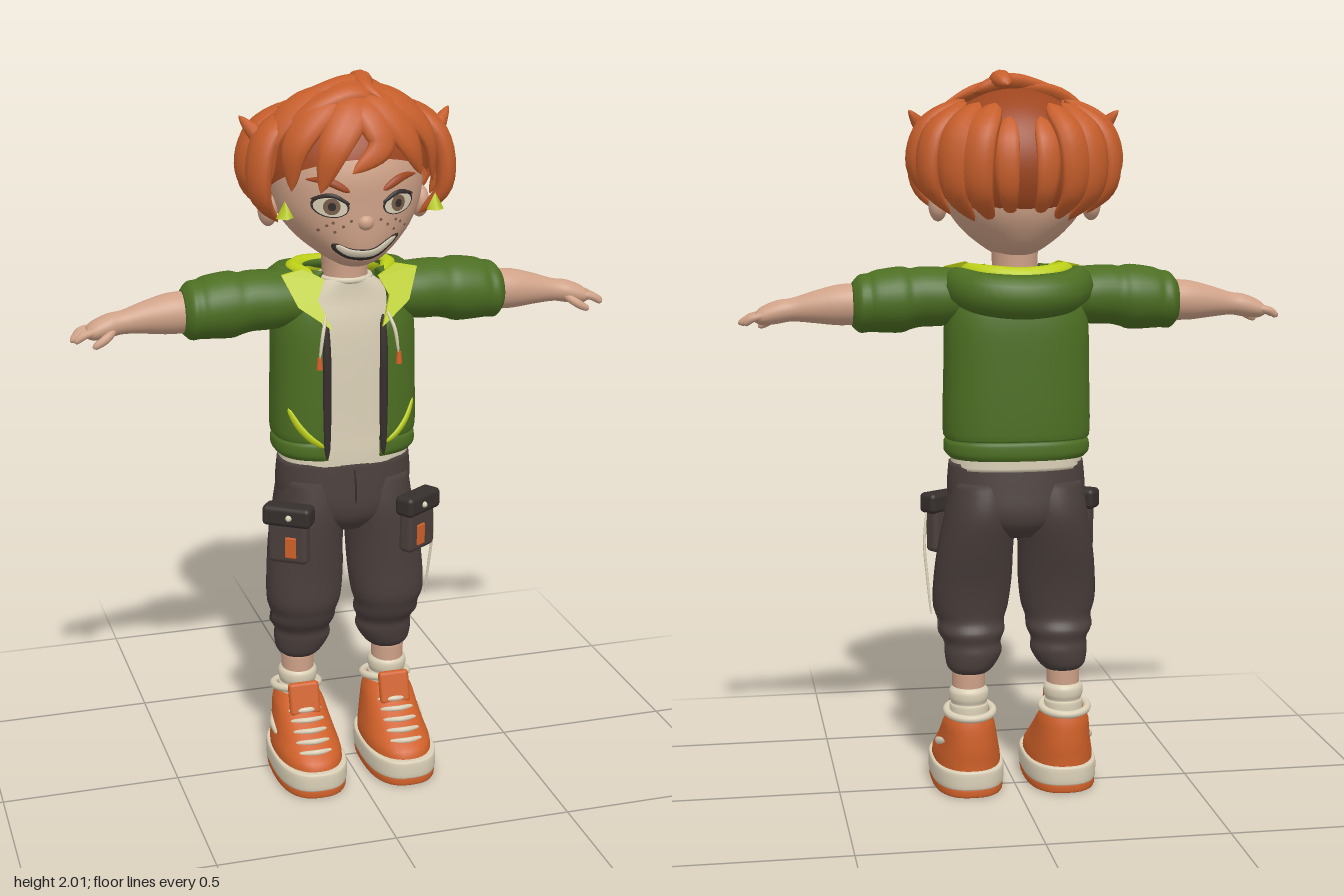
import * as THREE from 'three';
import { RoundedBoxGeometry } from 'three/addons/geometries/RoundedBoxGeometry.js';

const V = (x, y, z) => new THREE.Vector3(x, y, z);
const colours = {
  skin: 0xcfa288, hair: 0xc65e2b, hairDark: 0x9e4620, green: 0x4c6e22, lime: 0xbccf18,
  cream: 0xdacfb6, trousers: 0x4a3f3c, dark: 0x352e2c, orange: 0xcf6029, brown: 0x7a5f4c,
};

// Closed surface through rings of points
function skin(rings, caps = true) {
  const n = rings[0].length, pos = [], idx = [], last = rings.length - 1;
  rings.forEach(r => r.forEach(p => pos.push(p.x, p.y, p.z)));
  for (let i = 0; i < last; i++) for (let j = 0; j < n; j++) {
    const a = i * n + j, b = i * n + (j + 1) % n;
    idx.push(a, b, b + n, a, b + n, a + n);
  }
  if (caps) for (const i of [0, last]) {
    const c = rings[i].reduce((s, p) => s.add(p), V(0, 0, 0)).divideScalar(n);
    const k = pos.length / 3;
    pos.push(c.x, c.y, c.z);
    for (let j = 0; j < n; j++) {
      const a = i * n + j, b = i * n + (j + 1) % n;
      idx.push(k, i ? a : b, i ? b : a);
    }
  }
  const g = new THREE.BufferGeometry();
  g.setAttribute('position', new THREE.Float32BufferAttribute(pos, 3));
  g.setIndex(idx);
  g.computeVertexNormals();
  return g;
}

// Sections are [y, centreX, centreZ, radiusX, radiusZ], smoothed between rows
function smooth(rows, steps = 4) {
  const out = [], at = i => rows[Math.min(Math.max(i, 0), rows.length - 1)];
  for (let i = 0; i < rows.length - 1; i++) for (let k = 0; k < steps; k++) {
    const t = k / steps;
    out.push(rows[0].map((_, c) => {
      const [p, a, b, q] = [at(i - 1)[c], at(i)[c], at(i + 1)[c], at(i + 2)[c]];
      return a + 0.5 * t * (b - p + t * (2 * p - 5 * a + 4 * b - q + t * (3 * (a - b) + q - p)));
    }));
  }
  return [...out, rows.at(-1)];
}
function around([y, cx, cz, rx, rz], a, n, inset = 0) {
  const f = v => Math.sign(v) * Math.abs(v) ** (2 / n);
  return V(cx + (rx - inset) * f(Math.sin(a)), y, cz + (rz - inset) * f(Math.cos(a)));
}
const loft = (rows, n = 2, seg = 36) => skin(smooth(rows).map(s =>
  Array.from({ length: seg }, (_, j) => around(s, j / seg * 2 * Math.PI, n))));

// Elliptical strand along a curve: w is half width, t is half thickness
const pointed = s => Math.sin(Math.PI * s ** 0.7) ** 0.65;
const blunt = s => Math.sin(Math.PI * s) ** 0.25;
function sweep(points, w, t, centre, profile = blunt, steps = 18) {
  const curve = new THREE.CatmullRomCurve3(points), rings = [];
  for (let i = 0; i <= steps; i++) {
    const s = i / steps, p = curve.getPoint(s), T = curve.getTangent(s);
    const N = p.clone().sub(centre);
    N.addScaledVector(T, -N.dot(T)).normalize();
    const B = T.clone().cross(N), r = Math.max(0.03, profile(Math.min(Math.max(s, 0.001), 0.999)));
    rings.push(Array.from({ length: 10 }, (_, j) => {
      const a = j / 10 * 2 * Math.PI;
      return p.clone().addScaledVector(N, Math.cos(a) * t * r).addScaledVector(B, Math.sin(a) * w * r);
    }));
  }
  return skin(rings);
}
const ball = (x, y, z, rx, ry, rz) => new THREE.SphereGeometry(1, 20, 14).scale(rx, ry, rz).translate(x, y, z);
function mirrored(g) {
  const m = g.clone();
  if (!m.index) m.setIndex([...Array(m.attributes.position.count).keys()]);
  m.applyMatrix4(new THREE.Matrix4().makeScale(-1, 1, 1));
  const i = m.index.array;
  for (let k = 0; k < i.length; k += 3) [i[k], i[k + 1]] = [i[k + 1], i[k]];
  return m;
}

export function createModel() {
  const model = new THREE.Group(), mats = {};
  model.name = 'boy in green jacket';
  for (const k in colours) {
    mats[k] = new THREE.MeshStandardMaterial({ color: colours[k] });
    mats[k].name = k;
  }
  const add = (name, g, m) => {
    const mesh = new THREE.Mesh(g, mats[m]);
    mesh.name = name;
    model.add(mesh);
  };
  const pair = (name, g, m) => { add('left ' + name, g, m); add('right ' + name, mirrored(g), m); };
  const FRONT = V(0, 1.3, -6);

  // Head and neck
  const head = [[1.505, 0, .035, .045, .09], [1.53, 0, .03, .085, .15], [1.57, 0, .019, .135, .174],
    [1.62, 0, .009, .176, .189], [1.68, 0, .005, .2, .195], [1.76, 0, .002, .205, .197],
    [1.84, 0, 0, .185, .17], [1.9, 0, 0, .12, .11], [1.93, 0, 0, .03, .03]];
  add('head', loft(head, 2.15, 48), 'skin');
  add('neck', loft([[1.38, 0, 0, .07, .075], [1.46, 0, 0, .062, .07], [1.56, 0, 0, .066, .075]]), 'skin');
  pair('ear', ball(.212, 1.645, -.005, .026, .045, .038), 'skin');
  add('nose', ball(0, 1.638, .195, .022, .02, .017), 'skin');
  pair('earring', new THREE.ConeGeometry(.024, .045, 4).translate(.205, 1.675, .15), 'lime');

  // Face details laid on the head surface
  const dense = smooth(head);
  const faceZ = (x, y) => {
    const i = Math.max(1, dense.findIndex(s => s[0] >= y)), a = dense[i - 1], b = dense[i];
    const s = a.map((v, c) => v + (b[c] - v) * (y - a[0]) / (b[0] - a[0]));
    return s[2] + s[4] * Math.max(0, 1 - Math.abs(x / s[3]) ** 2.15) ** (1 / 2.15);
  };
  const patch = (cx, cy, rx, ry, lift, tilt = 0) => {
    const g = new THREE.RingGeometry(0.001, 1, 24, 4).scale(rx, ry, 1).rotateZ(tilt).translate(cx, cy, 0);
    const p = g.attributes.position;
    for (let i = 0; i < p.count; i++) p.setZ(i, faceZ(p.getX(i), p.getY(i)) + lift);
    g.computeVertexNormals();
    return g;
  };
  const onFace = (pts, w, t, lift, prof) =>
    sweep(pts.map(([x, y]) => V(x, y, faceZ(x, y) + lift)), w, t, V(0, 1.65, 0), prof);
  pair('eye outline', patch(.092, 1.684, .047, .03, .003, .15), 'dark');
  pair('eye white', patch(.092, 1.682, .042, .025, .005, .15), 'cream');
  pair('iris', patch(.09, 1.684, .021, .022, .007), 'brown');
  pair('pupil', patch(.09, 1.684, .01, .011, .009), 'dark');
  pair('upper eyelid', onFace([[.045, 1.69], [.09, 1.713], [.138, 1.702]], .006, .004, .005), 'dark');
  pair('eyebrow', onFace([[.045, 1.722], [.1, 1.75], [.15, 1.752]], .011, .007, .005, pointed), 'hairDark');
  add('mouth', onFace([[-.085, 1.578], [-.04, 1.556], [.02, 1.554], [.097, 1.596]], .018, .004, .002), 'dark');
  add('teeth', onFace([[-.075, 1.577], [-.04, 1.559], [.02, 1.557], [.088, 1.592]], .012, .004, .005), 'cream');
  [[.06, 1.63], [.08, 1.615], [.1, 1.632], [.118, 1.618], [.085, 1.64], [.04, 1.645]].forEach(([x, y]) =>
    pair('freckle', patch(x, y, .004, .004, .003), 'brown'));

  // Hair: a cap with tapered locks over it, placed by azimuth, elevation and lift in degrees
  const cap = new THREE.SphereGeometry(1, 40, 24, 0, 2 * Math.PI, 0, .58 * Math.PI);
  const H = V(0, 1.75, -.005);
  add('hair cap', cap.rotateX(-.52).scale(.225, .207, .213).translate(H.x, H.y, H.z), 'hairDark');
  const lock = (pts, w, t = .024, side = 1) => sweep(pts.map(([az, el, k]) => {
    const a = side * az * Math.PI / 180, e = el * Math.PI / 180;
    return V(Math.sin(a) * Math.cos(e) * .235 * k, Math.sin(e) * .21 * k, Math.cos(a) * Math.cos(e) * .22 * k).add(H);
  }), w, t, H, pointed);
  [ // fringe and crown
    [[[15, 78, 1.02], [-8, 52, 1.08], [-22, 22, 1.05], [-30, -8, 1.02]], .055],
    [[[20, 75, 1.03], [-35, 52, 1.08], [-48, 22, 1.07], [-50, -8, 1.03]], .055],
    [[[20, 70, 1.03], [-60, 55, 1.08], [-68, 25, 1.1], [-66, -4, 1.06]], .05],
    [[[-20, 72, 1.02], [5, 48, 1.08], [10, 24, 1.05], [-10, 6, 1.04]], .048],
    [[[-15, 75, 1.03], [20, 52, 1.09], [32, 24, 1.06], [42, 0, 1.03]], .055],
    [[[-15, 75, 1.03], [40, 52, 1.09], [55, 24, 1.08], [60, -8, 1.05]], .055],
    [[[70, 62, 1.05], [20, 76, 1.1], [-50, 66, 1.09], [-82, 45, 1.14]], .04],
    [[[-70, 62, 1.05], [-10, 66, 1.1], [50, 60, 1.09], [78, 42, 1.14]], .04],
    [[[30, 55, 1.06], [-5, 62, 1.13], [-40, 50, 1.12], [-60, 34, 1.14]], .035],
    [[[140, 82, 1.04], [50, 80, 1.13], [15, 66, 1.15], [20, 52, 1.2]], .03],
  ].forEach(([p, w], i) => add('fringe lock ' + (i + 1), lock(p, w), 'hair'));
  [ // sides, flicks and back, the same on both sides
    [[[75, 55, 1.02], [72, 22, 1.14], [70, -12, 1.17], [76, -36, 1.06]], .052, .03],
    [[[88, 55, 1.02], [90, 25, 1.14], [90, 0, 1.17], [88, -22, 1.1]], .052, .03],
    [[[108, 52, 1.02], [110, 20, 1.12], [112, -12, 1.14], [110, -36, 1.04]], .05, .03],
    [[[72, 12, 1.08], [80, 24, 1.18], [84, 27, 1.28], [88, 30, 1.42]], .022, .02],
    [[[130, 52, 1.01], [130, 20, 1.07], [131, -16, 1.09], [132, -44, 1.0]], .052, .03],
    [[[150, 52, 1.0], [148, 20, 1.05], [148, -18, 1.06], [150, -47, .98]], .05, .026],
    [[[166, 40, .97], [166, 15, 1.0], [167, -18, 1.01], [168, -48, .96]], .035, .014],
  ].forEach(([p, w, t], i) => {
    add('left hair lock ' + (i + 1), lock(p, w, t), 'hair');
    add('right hair lock ' + (i + 1), lock(p, w, t, -1), 'hair');
  });

  // Shirt
  add('shirt', loft([[.925, 0, -.02, .182, .117], [.975, 0, -.02, .18, .117], [1.05, 0, -.022, .17, .116],
    [1.3, 0, -.022, .165, .112], [1.4, 0, -.015, .13, .09], [1.455, 0, 0, .07, .073]], 2.4), 'cream');
  add('shirt collar', new THREE.TorusGeometry(.068, .009, 8, 32).rotateX(Math.PI / 2).translate(0, 1.452, 0), 'cream');

  // Jacket shell, open down the front
  const jacket = smooth([[.957, 0, -.025, .187, .128], [.972, 0, -.025, .2, .135], [.998, 0, -.025, .2, .135],
    [1.01, 0, -.025, .193, .131], [1.03, 0, -.025, .203, .137], [1.2, 0, -.025, .2, .136],
    [1.34, 0, -.025, .195, .13], [1.43, 0, -.022, .16, .105], [1.48, 0, -.015, .11, .08]]);
  add('jacket body', skin(jacket.map((s, i) => {
    const a0 = .31 + .35 * THREE.MathUtils.smoothstep(s[0], 1.28, 1.46), M = 48, ring = [];
    const inset = i === 0 || i === jacket.length - 1 ? .001 : .016;
    const angle = j => a0 + (2 * Math.PI - 2 * a0) * j / M;
    for (let j = 0; j <= M; j++) ring.push(around(s, angle(j), 2.6));
    for (let j = M; j >= 0; j--) ring.push(around(s, angle(j), 2.6, inset));
    return ring;
  }), false), 'green');
  const jz = x => -.025 + .136 * (1 - Math.abs(x / .202) ** 2.6) ** (1 / 2.6);
  pair('zip', sweep([.965, 1.1, 1.25, 1.36].map(y => V(.08, y, jz(.08) - (y > 1.3 ? .012 : 0))), .012, .008, FRONT), 'dark');
  pair('slanted pocket', sweep([[.09, 1.0], [.125, 1.025], [.155, 1.06], [.178, 1.105]].map(([x, y]) =>
    V(x, y, jz(x) + .002)), .011, .006, V(0, 1.05, -.05)), 'lime');
  pair('sleeve', loft([[.11, -1.4, -.01, .07, .085], [.2, -1.397, -.012, .08, .093], [.26, -1.397, -.012, .082, .09],
    [.29, -1.392, -.012, .083, .09], [.32, -1.39, -.015, .09, .095], [.38, -1.387, -.015, .085, .092],
    [.405, -1.383, -.015, .08, .085], [.43, -1.38, -.015, .078, .085], [.45, -1.378, -.015, .058, .06]])
    .rotateZ(-Math.PI / 2), 'green');

  // Hood, lining and collar flaps
  const arc = half => [...half, ...half.slice(0, -1).reverse().map(([x, y, z]) => [-x, y, z])].map(p => V(...p));
  const hoodProfile = s => Math.sin(Math.PI * s) ** .4;
  add('hood', sweep(arc([[.125, 1.445, .045], [.165, 1.435, -.05], [.115, 1.415, -.145], [0, 1.405, -.175]]),
    .06, .055, V(0, 1.42, -.05), hoodProfile, 40), 'green');
  add('hood lining', sweep(arc([[.1, 1.47, .04], [.13, 1.467, -.04], [.09, 1.46, -.11], [0, 1.453, -.135]]),
    .03, .034, V(0, 1.46, -.03), hoodProfile, 40), 'lime');
  const flap = new THREE.ExtrudeGeometry(new THREE.Shape([[.075, 1.46], [.1, 1.41], [.07, 1.335], [.155, 1.395],
    [.19, 1.475], [.13, 1.488]].map(p => new THREE.Vector2(...p))), { depth: .008, bevelEnabled: false });
  const fp = flap.attributes.position;
  for (let i = 0; i < fp.count; i++)
    fp.setZ(i, fp.getZ(i) + .12 - .5 * (fp.getY(i) - 1.34) - .3 * fp.getX(i) ** 2);
  flap.computeVertexNormals();
  pair('collar flap', flap, 'lime');
  pair('drawstring', sweep([V(.085, 1.375, .115), V(.1, 1.33, .138), V(.11, 1.265, .142)], .005, .005, FRONT), 'cream');
  pair('drawstring tip', new THREE.CylinderGeometry(.006, .009, .032, 10).translate(.111, 1.25, .142), 'orange');

  // Arms and hands
  pair('arm', loft([[.4, -1.38, -.012, .055, .055], [.48, -1.378, -.012, .056, .055], [.55, -1.373, -.01, .044, .044],
    [.61, -1.366, -.005, .032, .034], [.65, -1.36, -.002, .032, .038], [.69, -1.35, 0, .026, .037],
    [.71, -1.346, 0, .014, .028]]).rotateZ(-Math.PI / 2), 'skin');
  [-.028, -.009, .01, .028].forEach((z, i) => pair('finger ' + (i + 1), sweep([V(.675, 1.354, z * .9),
    V(.72, 1.345, z), V(.757 - Math.abs(z - .005) * .5, 1.328, z * .95 + .004)], .011, .011, V(.7, 0, 0)), 'skin'));
  pair('thumb', sweep([V(.635, 1.355, .02), V(.665, 1.335, .042), V(.7, 1.315, .048)], .012, .012, V(.66, 0, 0)), 'skin');

  // Trousers
  add('trouser hips', loft([[.735, 0, -.02, .07, .08], [.77, 0, -.022, .13, .115], [.81, 0, -.022, .18, .126],
    [.87, 0, -.02, .192, .122], [.942, 0, -.018, .187, .115]], 2.3), 'trousers');
  const leg = [[.345, .132, -.025, .05, .052], [.362, .13, -.025, .066, .066], [.4, .122, -.022, .08, .074],
    [.43, .122, -.018, .078, .074], [.46, .124, -.01, .092, .086], [.49, .123, .003, .092, .085],
    [.53, .123, .008, .104, .092], [.61, .118, 0, .108, .1], [.7, .112, -.012, .104, .115],
    [.8, .1, -.022, .098, .126], [.89, .095, -.02, .09, .11]];
  pair('trouser leg', loft(leg, 2.1), 'trousers');
  pair('leg seam', sweep(leg.slice(2, 10).map(s => V(s[1] + s[3], s[0], s[2])), .004, .004, V(-6, .6, 0)), 'dark');
  add('front fly seam', sweep([V(0, .93, .097), V(.003, .86, .103), V(0, .8, .1)], .003, .003, FRONT), 'dark');
  const onPocket = (name, g, m, x, y, z) =>
    pair(name, g.translate(x, y, z).rotateY(.6).translate(.185, .75, .088), m);
  onPocket('cargo pocket', new RoundedBoxGeometry(.115, .14, .045, 3, .015), 'trousers', 0, -.01, 0);
  onPocket('pocket flap', new RoundedBoxGeometry(.14, .058, .06, 3, .014), 'dark', 0, .06, .004);
  onPocket('pocket tag', new RoundedBoxGeometry(.032, .06, .008, 2, .003), 'orange', -.012, -.03, .024);
  onPocket('pocket stud', new THREE.SphereGeometry(.009, 12, 8), 'cream', -.01, .06, .034);
  add('hanging cord', sweep([V(.24, .8, .06), V(.25, .7, .04), V(.243, .6, .03), V(.235, .5, .02)], .004, .004, V(0, .6, 0)), 'cream');

  // Ankles, socks and shoes
  pair('ankle', loft([[.25, .135, -.022, .045, .047], [.36, .135, -.022, .047, .05]]), 'skin');
  pair('sock', loft([[.18, .135, -.025, .052, .055], [.245, .135, -.025, .055, .056], [.255, .135, -.025, .05, .052],
    [.27, .135, -.025, .055, .057], [.29, .135, -.025, .055, .057], [.302, .135, -.025, .046, .048]]), 'cream');
  const slab = (y0, y1, r) => loft([[y0, .133, .058, r - .008, r + .07], [y0 + .004, .133, .058, r, r + .077],
    [y1 - .006, .133, .058, r, r + .077], [y1, .133, .058, r - .008, r + .07]], 2.6);
  pair('outsole', slab(0, .03, .099), 'orange');
  pair('midsole', slab(.024, .076, .102), 'cream');
  pair('shoe upper', loft([[.06, .133, .056, .094, .166], [.095, .133, .05, .093, .16], [.13, .133, .024, .085, .136],
    [.17, .134, -.004, .077, .106], [.2, .135, -.022, .071, .084], [.228, .135, -.034, .058, .064]], 2.3), 'orange');
  pair('shoe tongue', new RoundedBoxGeometry(.09, .095, .024, 3, .011).rotateX(-.3).translate(.135, .226, .05), 'orange');
  [[.118, .182], [.138, .154], [.158, .125], [.178, .096], [.198, .07]].forEach(([y, z], i) =>
    pair('lace ' + (i + 1), sweep([V(.085, y - .006, z - .018), V(.134, y, z), V(.183, y - .006, z - .018)],
      .008, .008, V(.134, 0, -.2)), 'cream'));
  pair('shoe side stripe', sweep([V(.217, .125, .05), V(.217, .137, 0), V(.199, .152, -.055)], .011, .008, V(.1, .13, 0)), 'cream');
  pair('ankle ring', new THREE.TorusGeometry(.065, .011, 10, 32).rotateX(Math.PI / 2 - .15).translate(.135, .236, -.043), 'cream');

  return model;
}
